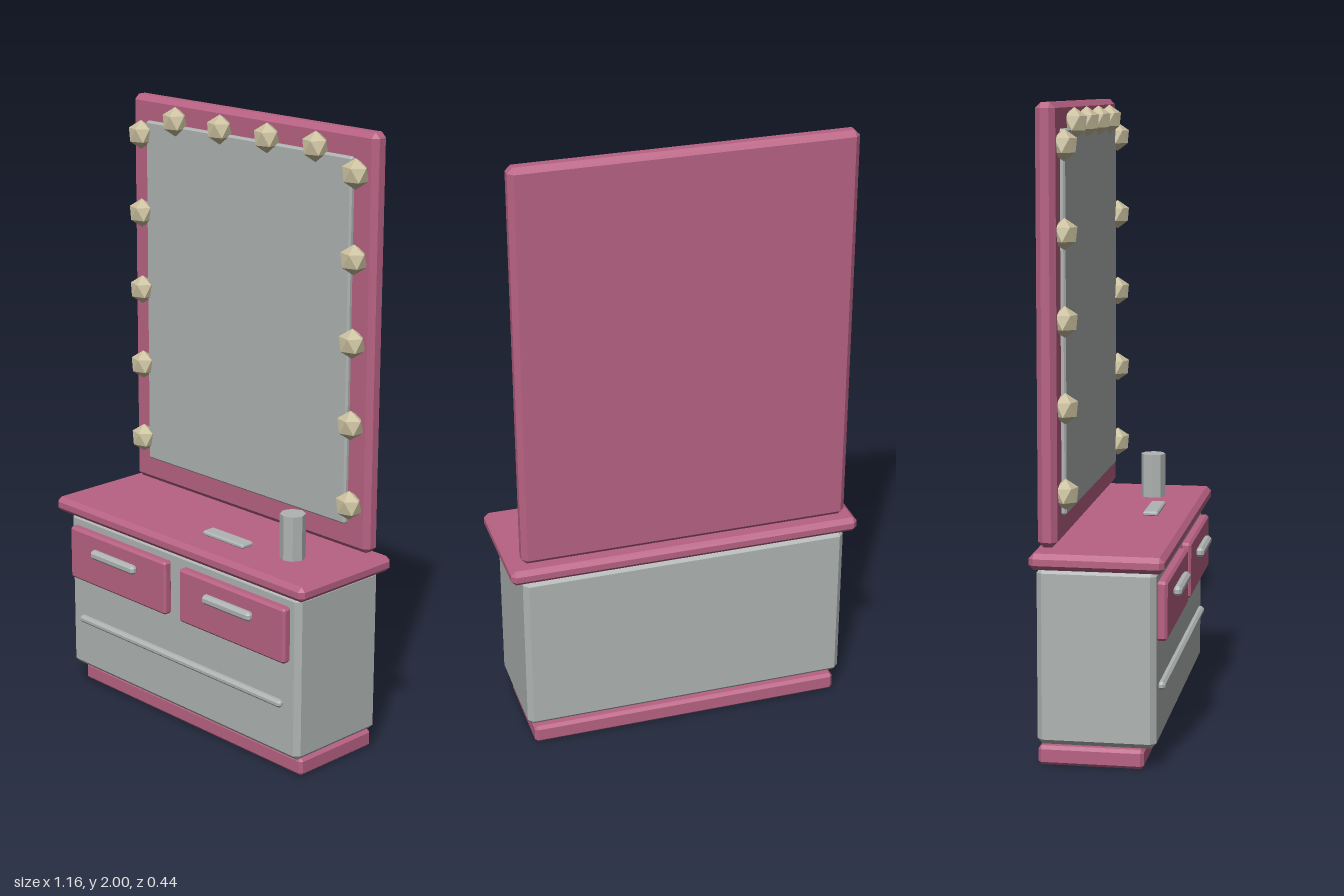
import * as THREE from 'three';
import { ConvexGeometry } from 'three/addons/geometries/ConvexGeometry.js';

const makeMaterial = (name, color) => {
  const m = new THREE.MeshStandardMaterial({ color });
  m.name = name;
  return m;
};

// Box with chamfered edges, given by its limits on each axis
function chamferBox([x0, x1], [y0, y1], [z0, z1], bevel) {
  const half = [(x1 - x0) / 2, (y1 - y0) / 2, (z1 - z0) / 2];
  const points = [];
  for (const sx of [-1, 1]) for (const sy of [-1, 1]) for (const sz of [-1, 1]) {
    for (let outer = 0; outer < 3; outer++) {
      const p = half.map((h, axis) => (axis === outer ? h : h - bevel));
      points.push(new THREE.Vector3(sx * p[0], sy * p[1], sz * p[2]));
    }
  }
  return new ConvexGeometry(points).translate((x0 + x1) / 2, (y0 + y1) / 2, (z0 + z1) / 2);
}

// Faceted bulb: two poles and two staggered rings of five
function bulbGeometry(r) {
  const points = [new THREE.Vector3(0, r, 0), new THREE.Vector3(0, -r, 0)];
  for (let i = 0; i < 5; i++) {
    const a = (i * Math.PI * 2) / 5;
    const x = 0.894 * r * Math.cos(a), z = 0.894 * r * Math.sin(a);
    points.push(new THREE.Vector3(x, 0.447 * r, z), new THREE.Vector3(-x, -0.447 * r, z));
  }
  return new ConvexGeometry(points);
}

export function createModel() {
  const model = new THREE.Group();
  model.name = 'vanityTable';
  const pink = makeMaterial('rosePaint', 0xb86283);
  const grey = makeMaterial('paleGrey', 0xafb4b2);
  const cream = makeMaterial('bulbCream', 0xcac09f);

  const add = (name, geometry, material) => {
    const mesh = new THREE.Mesh(geometry, material);
    mesh.name = name;
    model.add(mesh);
    return mesh;
  };
  const box = (name, material, x, y, z, bevel) => add(name, chamferBox(x, y, z, bevel), material);

  // Cabinet
  box('plinth', pink, [-0.52, 0.52], [0, 0.06], [-0.205, 0.12], 0.01);
  box('cabinetBody', grey, [-0.54, 0.54], [0.07, 0.62], [-0.205, 0.16], 0.017);
  box('tabletop', pink, [-0.58, 0.58], [0.62, 0.67], [-0.22, 0.19], 0.015);
  box('frontStrip', grey, [-0.48, 0.48], [0.24, 0.265], [0.155, 0.18], 0.008);

  // Drawers and handles
  for (const side of [-1, 1]) {
    const c = side * 0.27;
    box('drawer', pink, [c - 0.237, c + 0.237], [0.4, 0.583], [0.155, 0.19], 0.008);
    box('drawerHandle', grey, [c - 0.107, c + 0.107], [0.507, 0.538], [0.188, 0.216], 0.009);
  }

  // Mirror
  box('mirrorFrame', pink, [-0.54, 0.54], [0.68, 2], [-0.2, -0.14], 0.017);
  box('mirrorGlass', grey, [-0.457, 0.457], [0.765, 1.922], [-0.15, -0.125], 0.006);

  // Bulbs along the top and both sides of the frame
  const bulb = bulbGeometry(0.0475).scale(1, 1, 0.9);
  const spots = [-0.312, -0.105, 0.105, 0.312].map((x) => [x, 1.936]);
  for (let i = 0; i < 5; i++) {
    for (const side of [-1, 1]) spots.push([side * 0.477, 0.835 + i * 0.26]);
  }
  for (const [x, y] of spots) add('bulb', bulb, cream).position.set(x, y, -0.123);

  // Things on the tabletop
  box('tray', grey, [0.03, 0.215], [0.668, 0.684], [0.032, 0.082], 0.005);
  const cup = new THREE.CylinderGeometry(0.041, 0.041, 0.147, 8).toNonIndexed();
  cup.computeVertexNormals();
  add('cup', cup, grey).position.set(0.371, 0.742, 0.016);

  return model;
}
